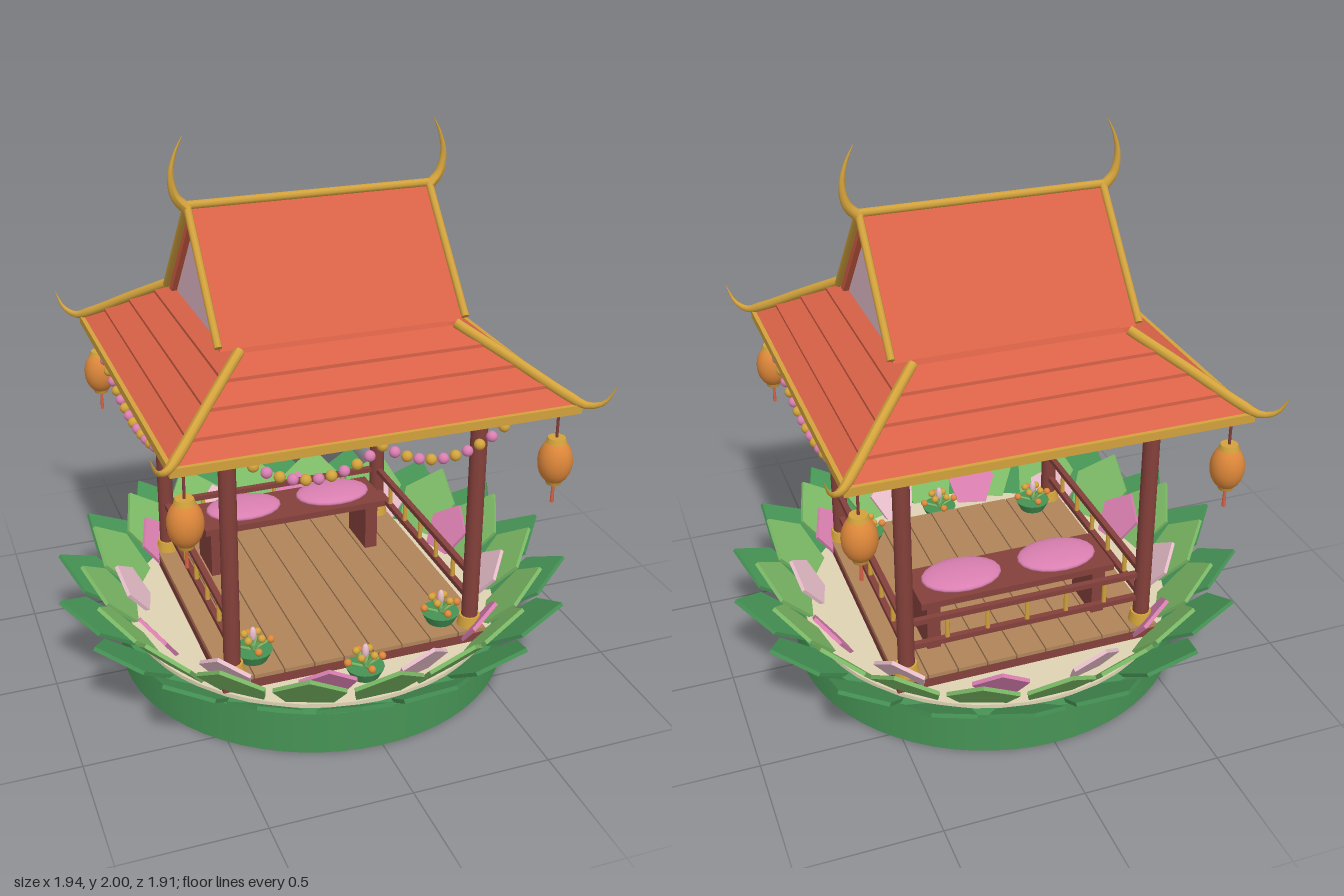
import * as THREE from 'three';

const mat = (name, color) => Object.assign(new THREE.MeshStandardMaterial({ color }), { name });
const green = mat('leafGreen', 0x469355);
const lightGreen = mat('lightLeafGreen', 0x7cba66);
const pink = mat('pink', 0xd97fb0);
const pale = mat('palePink', 0xe9bfcc);
const red = mat('roofRed', 0xd86247);
const gold = mat('gold', 0xd2a23c);
const wood = mat('darkWood', 0x84403a);
const plank = mat('plankWood', 0xb0845a);
const orange = mat('lanternOrange', 0xdd873a);
const cream = mat('cream', 0xdfd3b4);

const V = (x, y, z) => new THREE.Vector3(x, y, z);

export function createModel() {
  const model = new THREE.Group();
  const add = (name, geo, material, x = 0, y = 0, z = 0, parent = model) => {
    const mesh = new THREE.Mesh(geo, material);
    mesh.name = name;
    mesh.position.set(x, y, z);
    parent.add(mesh);
    return mesh;
  };
  const box = (name, w, h, d, m, x, y, z) => add(name, new THREE.BoxGeometry(w, h, d), m, x, y, z);
  // upright cylinder from y0 to y1
  const cyl = (name, r0, r1, y0, y1, m, x = 0, z = 0, seg = 16) =>
    add(name, new THREE.CylinderGeometry(r1, r0, y1 - y0, seg), m, x, (y0 + y1) / 2, z);
  const ball = (name, r, m, x, y, z, sx = 1, sy = 1, sz = 1) => {
    const s = add(name, new THREE.SphereGeometry(r, 20, 12), m, x, y, z);
    s.scale.set(sx, sy, sz);
    return s;
  };
  // straight round bar between two points
  const rod = (name, a, b, r, m, seg = 8) => {
    const mid = a.clone().add(b).multiplyScalar(0.5);
    const bar = add(name, new THREE.CylinderGeometry(r, r, a.distanceTo(b), seg), m, mid.x, mid.y, mid.z);
    bar.quaternion.setFromUnitVectors(V(0, 1, 0), b.clone().sub(a).normalize());
    return bar;
  };
  // curved tube narrowing to a point after the fraction "from" of its length
  const horn = (name, pts, r, from = 0) => {
    const n = 24, k = 8, curve = new THREE.CatmullRomCurve3(pts);
    const geo = new THREE.TubeGeometry(curve, n, r, k);
    const pos = geo.attributes.position, p = V(0, 0, 0);
    for (let i = 0; i < pos.count; i++) {
      const t = Math.floor(i / (k + 1)) / n;
      const c = curve.getPointAt(t);
      const f = t < from ? 1 : 1 - 0.95 * (t - from) / (1 - from);
      p.fromBufferAttribute(pos, i).sub(c).multiplyScalar(f).add(c);
      pos.setXYZ(i, p.x, p.y, p.z);
    }
    geo.computeVertexNormals();
    add(name, geo, gold);
  };

  // round base and pond floor
  add('base', new THREE.CylinderGeometry(0.735, 0.735, 0.16, 64), green, 0, 0.08, 0);
  cyl('baseTop', 0.7, 0.7, 0.16, 0.175, cream, 0, 0, 48);

  // lotus petal rings
  const petalRing = (name, count, offset, r0, y0, r1, y1, half, mats) => {
    const len = Math.hypot(r1 - r0, y1 - y0);
    const s = new THREE.Shape([[-half * 0.6, 0], [half * 0.6, 0], [half, len * 0.58], [0, len], [-half, len * 0.58]]
      .map(([x, y]) => new THREE.Vector2(x, y)));
    const geo = new THREE.ExtrudeGeometry(s, { depth: 0.014, bevelEnabled: false });
    for (let i = 0; i < count; i++) {
      const pivot = new THREE.Group();
      pivot.name = name + 'Pivot';
      pivot.rotation.y = Math.PI / 2 + (i + offset) * Math.PI * 2 / count;
      add(name, geo, mats[i % mats.length], 0, y0, r0, pivot).rotation.x = Math.atan2(r1 - r0, y1 - y0);
      model.add(pivot);
    }
  };
  petalRing('outerPetal', 18, 0, 0.69, 0.155, 0.96, 0.35, 0.13, [green]);
  petalRing('middlePetal', 18, 0.5, 0.66, 0.165, 0.86, 0.39, 0.125, [lightGreen]);
  petalRing('innerPetal', 12, 0.5, 0.62, 0.175, 0.735, 0.34, 0.1, [pink, pale]);

  // plank floor
  box('floorFrame', 1, 0.035, 1, wood, 0, 0.1925, 0);
  for (let i = 0; i < 9; i++) box('floorPlank', 0.106, 0.015, 1, plank, (i - 4) * 0.111, 0.2175, 0);

  // columns with gold feet and capitals
  for (const x of [-0.453, 0.453]) for (const z of [-0.453, 0.453]) {
    cyl('column', 0.03, 0.03, 0.22, 1.12, wood, x, z);
    cyl('columnFoot', 0.046, 0.038, 0.225, 0.265, gold, x, z);
    cyl('capital', 0.036, 0.05, 1.065, 1.1, gold, x, z);
    cyl('capitalBlock', 0.038, 0.038, 1.1, 1.138, gold, x, z);
  }
  // tie beams
  for (const s of [-0.453, 0.453]) {
    box('beam', 1.08, 0.036, 0.06, wood, 0, 1.119, s);
    box('beam', 0.06, 0.036, 1.08, wood, s, 1.119, 0);
  }

  // railings on the back and both sides
  for (const [ax, az, bx, bz] of [[-1, -1, 1, -1], [-1, -1, -1, 1], [1, -1, 1, 1]]) {
    const w = bx !== ax ? 0.86 : 0.022, d = bz !== az ? 0.86 : 0.022;
    const cx = (ax + bx) / 2 * 0.453, cz = (az + bz) / 2 * 0.453;
    for (const y of [0.43, 0.33]) box('rail', w, 0.02, d, wood, cx, y, cz);
    for (let i = -2; i <= 2; i++)
      cyl('baluster', 0.009, 0.009, 0.335, 0.425, gold, cx + (bx !== ax ? i * 0.15 : 0), cz + (bz !== az ? i * 0.15 : 0), 8);
  }

  // bench with two cushions
  box('benchSeat', 0.74, 0.025, 0.22, wood, 0, 0.427, -0.27);
  for (const x of [-1, 1]) {
    box('benchLeg', 0.05, 0.195, 0.18, wood, x * 0.32, 0.3175, -0.27);
    ball('cushion', 0.15, pink, x * 0.185, 0.455, -0.27, 1, 0.17, 0.68);
  }

  // flower bowls along the open front
  for (const [px, pz] of [[-0.36, 0.4], [0, 0.56], [0.36, 0.4]]) {
    const y = pz > 0.5 ? 0.175 : 0.225;
    cyl('flowerBowl', 0.05, 0.07, y, y + 0.04, green, px, pz);
    for (let i = 0; i < 8; i++) {
      const a = i * Math.PI / 4, r = i % 2 ? 0.035 : 0.065;
      const tip = V(px + Math.cos(a) * r, y + (i % 2 ? 0.09 : 0.065), pz + Math.sin(a) * r);
      rod('stem', V(px, y + 0.035, pz), tip, 0.006, lightGreen, 5);
      ball('flower', 0.014, i % 2 ? gold : orange, tip.x, tip.y, tip.z);
    }
    ball('bud', 0.016, pale, px, y + 0.1, pz, 0.8, 1.8, 0.8);
  }

  // stepped lower roof: four-sided lathe, flat faces
  const profile = [[0, 1.145], [0.69, 1.145], [0.69, 1.165]];
  for (let i = 0; i < 4; i++) {
    const top = 1.165 + (i + 1) * 0.055, r = 0.69 - (i + 1) * 0.08;
    profile.push([r, top - 0.012]);
    if (i < 3) profile.push([r + 0.01, top - 0.012], [r + 0.01, top]);
  }
  profile.push([0, 1.375]);
  const skirt = new THREE.LatheGeometry(profile.map(([r, y]) => new THREE.Vector2(r * Math.SQRT2, y)), 4, Math.PI / 4).toNonIndexed();
  skirt.computeVertexNormals();
  add('lowerRoof', skirt, red);

  // gold eaves
  for (const s of [-0.69, 0.69]) {
    box('eaves', 1.4, 0.03, 0.02, gold, 0, 1.153, s);
    box('eaves', 0.02, 0.03, 1.4, gold, s, 1.153, 0);
  }
  // hip ridges ending in upturned tips
  for (const sx of [-1, 1]) for (const sz of [-1, 1]) {
    const pts = [[0.38, 1.385], [0.53, 1.285], [0.66, 1.195], [0.71, 1.17], [0.75, 1.19], [0.775, 1.25]];
    horn('hipRidge', pts.map(([r, y]) => V(sx * r, y, sz * r)), 0.018, 0.72);
  }

  // steep upper roof as an extruded chevron, with gable panels
  const prism = (name, pts, length, m) => {
    const geo = new THREE.ExtrudeGeometry(new THREE.Shape(pts.map(([x, y]) => new THREE.Vector2(x, y))), { depth: length, bevelEnabled: false });
    geo.translate(0, 0, -length / 2).rotateY(Math.PI / 2);
    add(name, geo, m);
  };
  prism('upperRoof', [[-0.33, 1.37], [-0.295, 1.37], [0, 1.715], [0.295, 1.37], [0.33, 1.37], [0, 1.765]], 0.86, red);
  prism('gable', [[-0.3, 1.37], [0.3, 1.37], [0, 1.72]], 0.82, pale);
  rod('ridge', V(-0.45, 1.768, 0), V(0.45, 1.768, 0), 0.015, gold);
  for (const s of [-1, 1]) {
    for (const z of [-0.335, 0.335]) rod('bargeboard', V(s * 0.437, 1.385, z), V(s * 0.437, 1.768, 0), 0.014, gold);
    const pts = [[0.435, 1.755], [0.475, 1.8], [0.488, 1.87], [0.473, 1.94], [0.445, 2]];
    horn('roofFinial', pts.map(([x, y]) => V(s * x, y, 0)), 0.021);
  }

  // corner lanterns
  for (const x of [-0.645, 0.645]) for (const z of [-0.645, 0.645]) {
    cyl('lanternCord', 0.005, 0.005, 1.03, 1.15, wood, x, z, 6);
    ball('lantern', 0.06, orange, x, 0.948, z, 1, 1.4, 1);
    cyl('lanternCap', 0.036, 0.03, 1.018, 1.036, gold, x, z);
    cyl('lanternFoot', 0.025, 0.032, 0.862, 0.88, gold, x, z);
    cyl('tassel', 0.007, 0.005, 0.79, 0.862, red, x, z, 6);
  }

  // bead garlands: two swags in front, one on each side
  const swag = (a, b, n, sag) => {
    for (let i = 0; i <= n; i++) {
      const t = i / n, p = a.clone().lerp(b, t);
      ball('garlandBead', 0.019, i % 2 ? pink : gold, p.x, p.y - sag * 4 * t * (1 - t), p.z);
    }
  };
  swag(V(-0.43, 1.12, 0.67), V(0, 1.12, 0.67), 10, 0.08);
  swag(V(0, 1.12, 0.67), V(0.43, 1.12, 0.67), 10, 0.08);
  for (const x of [-0.67, 0.67]) swag(V(x, 1.12, 0.45), V(x, 1.12, -0.45), 14, 0.08);

  return model;
}
